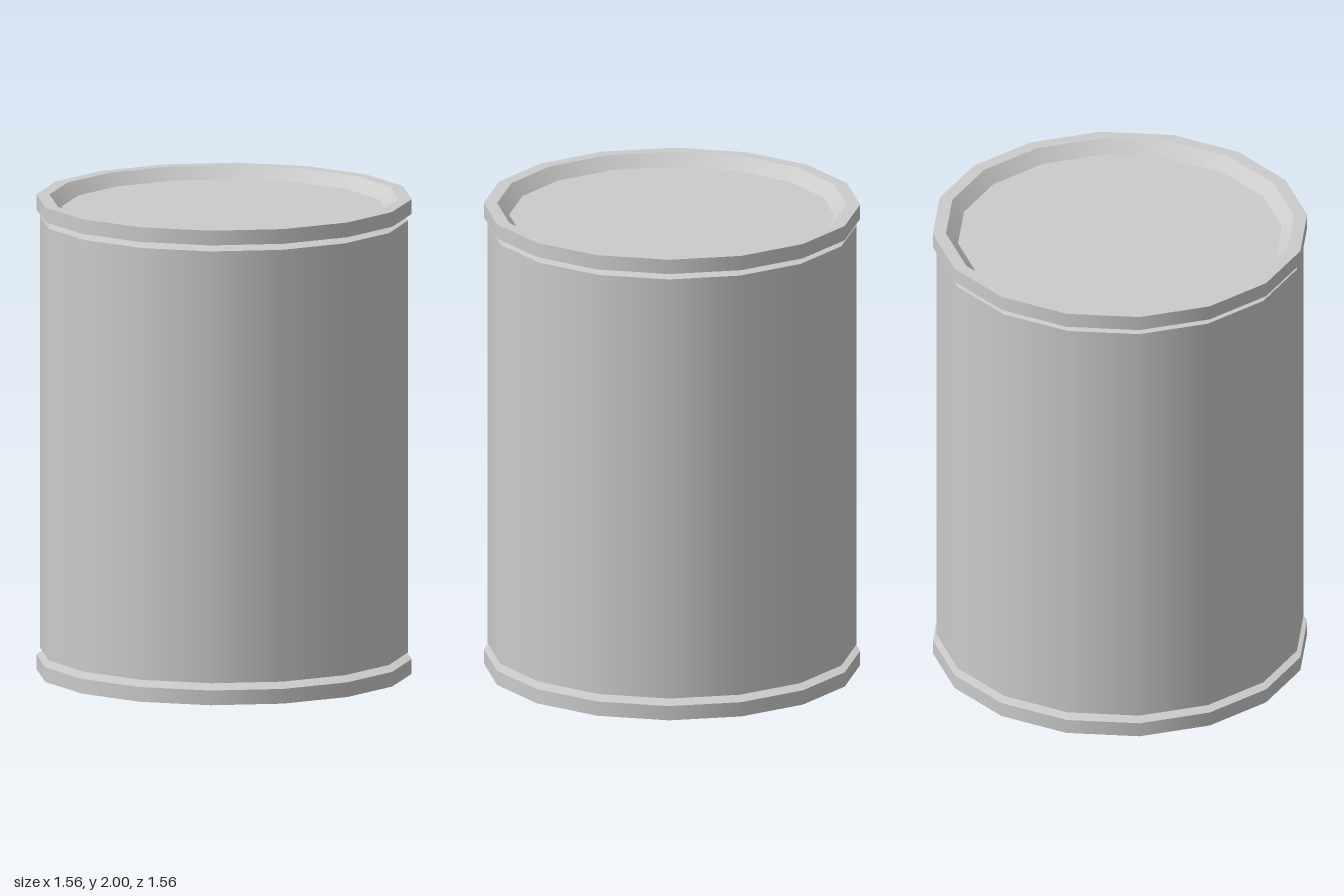
import * as THREE from 'three';
import { mergeGeometries } from 'three/addons/utils/BufferGeometryUtils.js';

const SIDES = 16;
const TURN = -0.018; // slight twist of the facets about the axis

// Turns a profile of [radius, y] points: smooth around, sharp between its bands.
function turned(name, profile) {
  const bands = [];
  for (let i = 0; i < profile.length - 1; i++) {
    const points = [profile[i], profile[i + 1]].map(([r, y]) => new THREE.Vector2(r, y));
    bands.push(new THREE.LatheGeometry(points, SIDES, TURN));
  }
  const material = new THREE.MeshStandardMaterial({ color: 0xcccccc });
  const mesh = new THREE.Mesh(mergeGeometries(bands), material);
  mesh.name = name;
  return mesh;
}

export function createModel() {
  const can = new THREE.Group();
  can.name = 'can';

  // Recessed end panel, sloped inner wall, rim and undercut
  const end = [[0, 0.05], [0.675, 0.05], [0.725, 0], [0.78, 0], [0.78, 0.062], [0.675, 0.077]];
  can.add(turned('bottomEnd', end));

  // Straight wall with a bevelled shoulder at both ends
  can.add(turned('body', [[0.675, 0.077], [0.765, 0.09], [0.765, 1.91], [0.675, 1.923]]));

  // Top end mirrors the bottom; the reversed order keeps faces outward
  can.add(turned('topEnd', end.map(([r, y]) => [r, 2 - y]).reverse()));

  return can;
}
